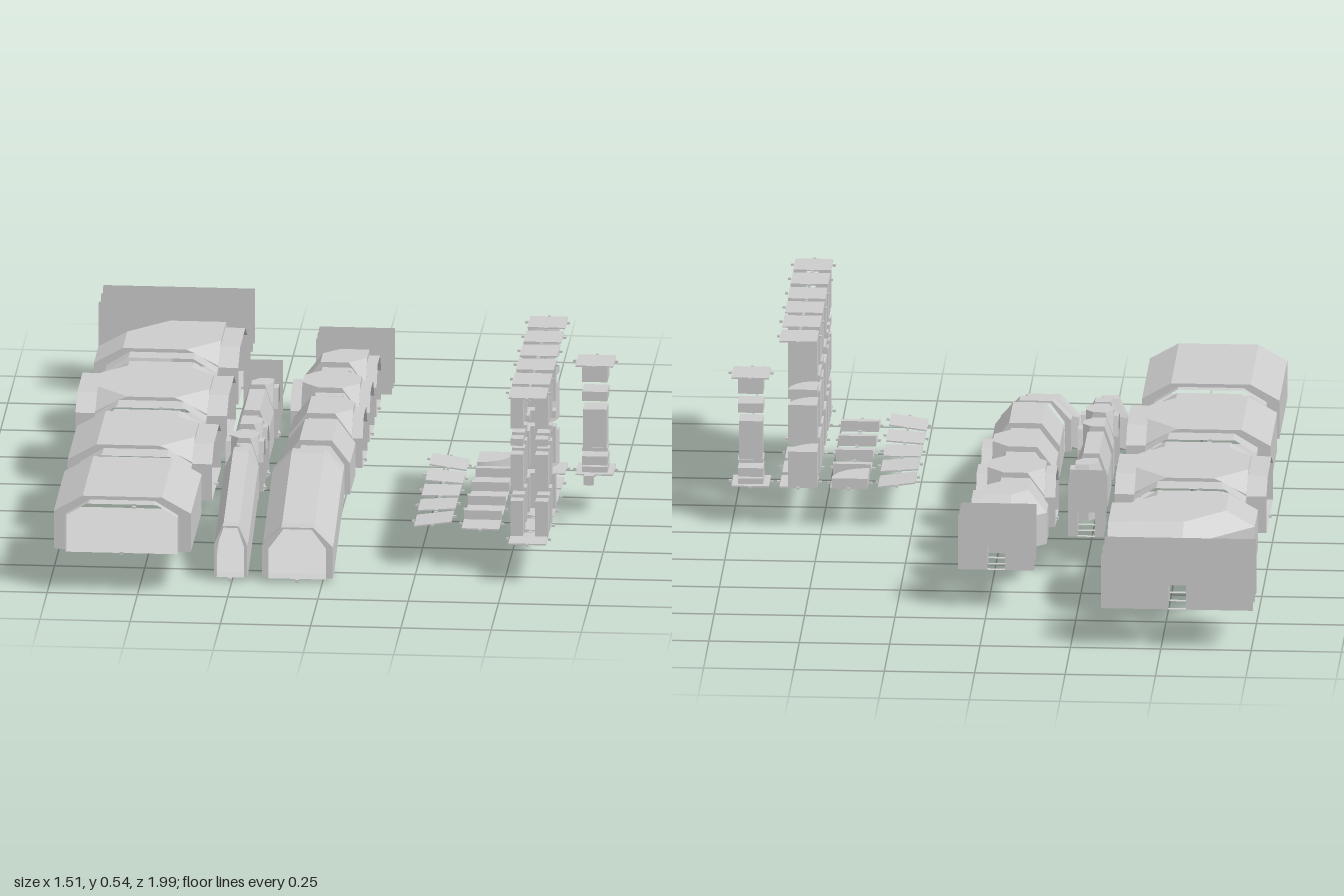
import * as THREE from 'three';

const mat = new THREE.MeshStandardMaterial({ color: 0xcccccc, flatShading: true, side: THREE.DoubleSide });
const FLOOR = 0.115;

// Mesh from a list of convex polygons, each a loop of [x, y, z]
function faces(name, polys) {
  const pos = [];
  for (const p of polys)
    for (let i = 1; i < p.length - 1; i++) pos.push(...p[0], ...p[i], ...p[i + 1]);
  const g = new THREE.BufferGeometry();
  g.setAttribute('position', new THREE.Float32BufferAttribute(pos, 3));
  g.computeVertexNormals();
  const m = new THREE.Mesh(g, mat);
  m.name = name;
  return m;
}

// Quads between two matching rows of points
function strip(a, b) {
  const out = [];
  for (let i = 0; i < a.length - 1; i++) out.push([a[i], a[i + 1], b[i + 1], b[i]]);
  return out;
}

function box(name, w, h, d, x, y, z) {
  const m = new THREE.Mesh(new THREE.BoxGeometry(w, h, d), mat);
  m.position.set(x, y, z);
  m.name = name;
  return m;
}

const peg = (x, y, z) => box('connectorPeg', 0.01, 0.008, 0.01, x, y, z);

// Tunnel sizes: s body half width, a arm half width, L arm reach, t and k roof half widths,
// u arm roof half width, wall/top body heights, aw/at arm heights
const LARGE = { s: 0.19, a: 0.155, L: 0.21, t: 0.11, k: 0.065, u: 0.09, wall: 0.11, top: 0.155, aw: 0.105, at: 0.145 };
const MEDIUM = { s: 0.095, a: 0.08, L: 0.11, t: 0.045, k: 0.033, u: 0.04, wall: 0.09, top: 0.155, aw: 0.085, at: 0.14 };
const SMALL = { s: 0.045, a: 0.038, L: 0.053, t: 0.022, k: 0.016, u: 0.02, wall: 0.09, top: 0.155, aw: 0.085, at: 0.14 };

// Outline per room kind: wall x, wall z, roof x, roof z, and whether the side to the next point is an opening
function outline(kind, { s, a, t, k }, len) {
  if (kind === 'straight')
    return [[-s, len, -t, len, 1], [s, len, t, len, 0], [s, -len, t, -len, 1], [-s, -len, -t, -len, 0]];
  if (kind === 'tee')
    return [[-s, a, -t, a, 1], [a, a, k, a, 0], [a, a, a, k, 1], [a, -a, a, -k, 0], [a, -a, k, -a, 1], [-s, -a, -t, -a, 0]];
  if (kind === 'corner')
    return [[-s, a, -t, a, 1], [a, a, k, a, 0], [a, a, a, k, 1], [a, -s, a, -t, 0], [0, -s, 0, -t, 0], [-s, 0, -t, 0, 0]];
  return [[-a, a, -k, a, 1], [a, a, k, a, 0], [a, a, a, k, 1], [a, -a, a, -k, 0],
    [a, -a, k, -a, 1], [-a, -a, -k, -a, 0], [-a, -a, -a, -k, 1], [-a, a, -a, k, 0]];
}

// Hollow tunnel piece with open arms
function room(kind, S, cx, cz, L = S.L) {
  const pts = outline(kind, S, L - S.L * 0.12);
  const group = new THREE.Group();
  group.name = kind + 'Tunnel';
  const polys = [pts.map(p => [p[0], 0, p[1]]), pts.map(p => [p[2], S.top, p[3]])];
  pts.forEach((p, i) => {
    const q = pts[(i + 1) % pts.length];
    const outer = [[p[0], 0, p[1]], [p[0], S.wall, p[1]], [p[2], S.top, p[3]],
      [q[2], S.top, q[3]], [q[0], S.wall, q[1]], [q[0], 0, q[1]]];
    if (!p[4]) {
      polys.push([outer[0], outer[1], outer[4], outer[5]], [outer[1], outer[2], outer[3], outer[4]]);
      return;
    }
    // Opening: frame around the arm, then the arm itself
    const alongZ = p[1] === q[1];
    const plane = alongZ ? p[1] : p[0];
    const dir = Math.sign(plane);
    const o = Math.sign(alongZ ? p[0] - q[0] : p[1] - q[1]);
    const section = d => [[S.a, 0], [S.a, S.aw], [S.u, S.at], [-S.u, S.at], [-S.a, S.aw], [-S.a, 0]]
      .map(([w, y]) => alongZ ? [w * o, y, d] : [d, y, w * o]);
    const near = section(plane), far = section(dir * L);
    polys.push(...strip(outer, near), ...strip(near, far), [near[0], near[5], far[5], far[0]]);
    group.add(alongZ ? peg(0, 0, dir * L) : peg(dir * L, 0, 0));
  });
  group.add(faces('shell', polys));
  group.position.set(cx, FLOOR, cz);
  return group;
}

// Sloping tunnel, low at the front
function ramp(S, cx) {
  const group = new THREE.Group();
  group.name = 'rampTunnel';
  const sec = (z, y, w, h, u, t) => [[w, 0], [w, h], [u, t], [-u, t], [-w, h], [-w, 0], [w, 0]].map(([x, v]) => [x, y + v, z]);
  const arm = (z, y) => sec(z, y, S.a, S.aw, S.u, S.at);
  const body = (z, y) => sec(z, y, S.s * 1.03, S.wall, S.t, S.top - 0.01);
  const rows = [arm(0.85, 0.01), arm(0.84, 0.01), body(0.84, 0.01), body(0.8, 0.01),
    body(0.48, FLOOR), body(0.44, FLOOR), arm(0.44, FLOOR), arm(0.43, FLOOR)];
  const polys = [];
  for (let i = 0; i < rows.length - 1; i++) polys.push(...strip(rows[i], rows[i + 1]));
  group.add(faces('shell', polys), peg(0, 0.004, 0.85), peg(0, FLOOR, 0.43));
  group.position.x = cx;
  return group;
}

// End wall: two skins joined by a doorway reveal
function doorWall(cx, z, half, doorW, doorH) {
  const w = doorW / 2, y = FLOOR, dy = y + doorH, top = 0.27, polys = [];
  const door = d => [[-w, y, d], [-w, dy, d], [w, dy, d], [w, y, d], [-w, y, d]];
  for (const d of [-0.007, 0.007]) {
    for (const s of [-1, 1]) polys.push([[s * half, y, d], [s * w, y, d], [s * w, top, d], [s * half, top, d]]);
    polys.push([[-w, dy, d], [w, dy, d], [w, top, d], [-w, top, d]]);
  }
  polys.push(...strip(door(-0.007), door(0.007)));
  const m = faces('doorWall', polys);
  m.position.set(cx, 0, z);
  return m;
}

const H = 0.052; // tile half size

// Thin square plate with a peg at the middle of each side
function plate(x, y, z) {
  const g = new THREE.Group();
  g.name = 'tilePlate';
  g.add(box('plate', 2 * H, 0.004, 2 * H, x, y, z));
  for (const [i, j] of [[1, 0], [-1, 0], [0, 1], [0, -1]])
    g.add(box('connectorPeg', 0.008, 0.006, 0.008, x + i * (H + 0.006), y, z + j * (H + 0.006)));
  return g;
}

// Upright quarter-round block
function quarterBlock(x, y0, y1, z, r) {
  const shape = new THREE.Shape();
  shape.moveTo(0, 0).lineTo(r, 0).absarc(0, 0, r, 0, Math.PI / 2).lineTo(0, 0);
  const geo = new THREE.ExtrudeGeometry(shape, { depth: y1 - y0, bevelEnabled: false, curveSegments: 8 });
  geo.rotateX(Math.PI / 2);
  const m = new THREE.Mesh(geo, mat);
  m.position.set(x - H, y1, z - H);
  m.name = 'roundedBlock';
  return m;
}

export function createModel() {
  const model = new THREE.Group();

  // Large tunnels
  model.add(room('straight', LARGE, -0.545, 0.775), room('tee', LARGE, -0.545, 0.325),
    room('cross', LARGE, -0.54, -0.125), room('corner', LARGE, -0.545, -0.575));
  // Medium tunnels
  model.add(ramp(MEDIUM, -0.07), room('straight', MEDIUM, -0.055, 0.297), room('tee', MEDIUM, -0.055, 0.062),
    room('cross', MEDIUM, -0.055, -0.178), room('corner', MEDIUM, -0.055, -0.415));
  // Small tunnels
  model.add(ramp(SMALL, -0.255), room('cross', SMALL, -0.253, 0.35), room('tee', SMALL, -0.253, 0.22),
    room('straight', SMALL, -0.253, 0.03, 0.105), room('corner', SMALL, -0.253, -0.15));

  // End walls with doorways
  const walls = [[-0.545, 0.21, [-0.84, -0.917, -0.993], [0.11, 0.05, 0.05]],
    [-0.025, 0.105, [-0.55, -0.607, -0.657], [0.105, 0.05, 0.05]],
    [-0.255, 0.05, [-0.23, -0.285, -0.337], [0.065, 0.05, 0.05]]];
  for (const [x, half, zs, ws] of walls)
    zs.forEach((z, i) => model.add(doorWall(x, z, half, ws[i], i < 2 ? 0.105 : 0.07)));

  // Floor tiles: a sloping row and a kerbed row
  const rows = [0.11, 0.245, 0.375, 0.505, 0.64];
  rows.forEach((z, i) => {
    const slope = plate(0, 0, 0);
    slope.position.set(0.293, 0.128, z);
    slope.rotation.z = (i - 2) * 0.07;
    model.add(slope, plate(0.425, FLOOR + 0.002, z));
    if (i === 0) model.add(quarterBlock(0.425, FLOOR, 0.145, z, 0.1));
    else model.add(box('kerb', 2 * H, 0.03, 0.02, 0.425, 0.13, z - H + 0.01));
  });

  // Stacked wall blocks: plan rectangles [x0, x1, z0, z1] per tile
  const c = 0.017;
  const plans = [null, [[-H, 0, -H, H]], [[-H, c, -H, c]], [[-H, H, -H, -c], [-H, -c, -c, c + 0.01]],
    [[-H, -c, -H, -c], [c, H, -H, -c], [-H, -c, c, H], [c, H, c, H]],
    [[-H, -c, -H, -c], [c, H, -H, -c]]];
  const levels = [[0.115, 0.22], [0.25, 0.355], [0.38, 0.4], [0.43, 0.54]];
  [...rows, 0.77].forEach((z, i) => {
    const stack = new THREE.Group();
    stack.name = 'wallStack';
    for (const [y0, y1] of levels) {
      if (!plans[i]) stack.add(quarterBlock(0.565, y0, y1, z, 0.08));
      else for (const [x0, x1, z0, z1] of plans[i])
        stack.add(box('wallBlock', x1 - x0, y1 - y0, z1 - z0, 0.565 + (x0 + x1) / 2, (y0 + y1) / 2, z + (z0 + z1) / 2));
    }
    stack.add(plate(0.565, 0.117, z), plate(0.565, 0.538, z));
    model.add(stack);
  });

  // Pillar stack and loose block
  const pillar = new THREE.Group();
  pillar.name = 'pillar';
  for (const [y0, y1, w] of [[0.115, 0.135, 0.07], [0.14, 0.165, 0.07], [0.18, 0.19, 0.07], [0.19, 0.3, 0.065],
    [0.325, 0.352, 0.07], [0.38, 0.43, 0.07]])
    pillar.add(box('pillarBlock', w, y1 - y0, w, 0.698, (y0 + y1) / 2, 0.11));
  pillar.add(plate(0.698, 0.117, 0.11), plate(0.698, 0.43, 0.11));
  model.add(pillar, box('looseBlock', 0.027, 0.027, 0.027, 0.69, 0.13, 0.245));

  return model;
}
